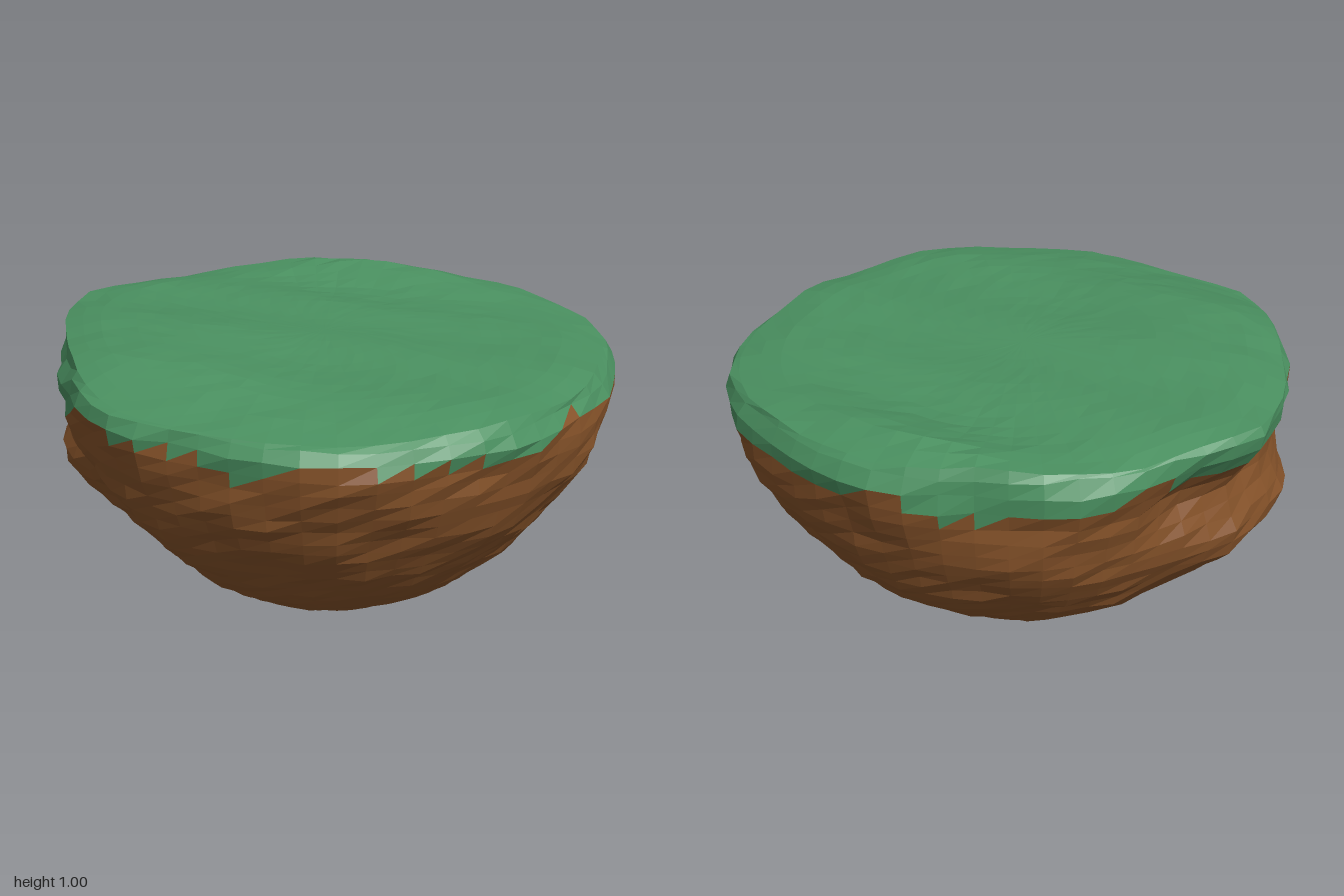
import * as THREE from 'three';

const SEG = 54;

// Rim radius every 15 degrees, from +x round towards +z
const RIM = [0.99, 0.98, 1.0, 0.985, 0.99, 0.97, 0.935, 0.96, 0.935, 0.90, 0.905, 0.96,
  1.0, 0.935, 0.94, 0.93, 0.92, 0.955, 0.95, 0.96, 0.99, 1.0, 1.0, 0.97];

// Half section from the bottom point to the rim: radius factor, height
const SECTION = [[0, 0.005], [0.15, 0.015], [0.29, 0.06], [0.42, 0.115], [0.545, 0.185], [0.66, 0.27],
  [0.765, 0.37], [0.855, 0.475], [0.93, 0.6], [0.97, 0.7], [0.99, 0.79], [1.0, 0.85], [0.99, 0.89], [0.975, 0.915]];
const TOP_ROWS = 15;

// Soft bump centred on an angle (degrees) and a height
function bump(deg, y, deg0, y0, wDeg, wY) {
  const d = ((deg - deg0 + 540) % 360) - 180;
  return Math.exp(-((d / wDeg) ** 2) - ((y - y0) / wY) ** 2);
}

// Repeatable value from -1 to 1
function hash(a, b) {
  const s = Math.sin(a * 127.1 + b * 311.7) * 43758.5453;
  return 2 * (s - Math.floor(s)) - 1;
}

function rimRadius(deg) {
  const t = deg / 15, i = Math.floor(t);
  return THREE.MathUtils.lerp(RIM[i % 24], RIM[(i + 1) % 24], t - i);
}

// Uneven grass plateau: a rise front right, a hollow and a ridge at the back, a falling front edge
function plateau(x, z) {
  return 0.96 - 0.025 * x
    + 0.03 * Math.exp(-((x + 0.35) ** 2 + (z - 0.4) ** 2) * 7)
    - 0.015 * Math.exp(-(((z + 0.5) / 0.15) ** 2))
    + 0.025 * Math.exp(-(((z + 0.75) / 0.1) ** 2) - ((x + 0.3) / 0.5) ** 2)
    - 0.035 * THREE.MathUtils.smoothstep(z, 0.55, 0.95)
    + 0.005 * Math.sin(14 * z + 3 * x) + 0.004 * Math.sin(6 * x - 9 * z + 1);
}

// Rows of points from the bottom pole up to the rim, then in to the middle of the top
function makeRows() {
  const profile = new THREE.SplineCurve(SECTION.map(([r, y]) => new THREE.Vector2(r, y))).getSpacedPoints(28);
  const rows = profile.map((p, i) => sideRow(i, p.x, p.y));
  for (let k = 1; k <= TOP_ROWS; k++) rows.push(topRow(k, 0.955 * (1 - (k - 1) / (TOP_ROWS - 1))));
  return rows;
}

function makeRow(pointAt) {
  return Array.from({ length: SEG }, (_, j) => pointAt(j, (j / SEG) * 360, (j / SEG) * 2 * Math.PI));
}

function sideRow(i, factor, height) {
  return makeRow((j, deg, a) => {
    // The outline gets rounder towards the bottom
    const round = THREE.MathUtils.smoothstep(height, 0.1, 0.8);
    let r = factor * THREE.MathUtils.lerp(0.965, rimRadius(deg), round);
    // Overhang, lump below it and the groove beside the lump
    r -= 0.13 * bump(deg, height, 182, 0.73, 30, 0.13);
    r += 0.07 * bump(deg, height, 154, 0.52, 20, 0.1);
    r -= 0.08 * bump(deg, height, 121, 0.4, 13, 0.2);
    // Broad ripples and rough facets
    const rough = Math.min(1, factor * 1.3);
    r += rough * (0.007 * Math.sin(5 * a + 11 * height) + 0.006 * Math.sin(9 * a - 17 * height) + 0.009 * hash(i, j));
    // The rim is higher on one side, and the bottom leans a little to the other
    const lift = 0.24 * Math.max(0, height - 0.75) * (-0.6 * Math.cos(a) - 0.25 * Math.sin(a));
    const lean = 0.03 * (1 - THREE.MathUtils.smoothstep(height, 0.05, 0.5));
    return new THREE.Vector3(r * Math.cos(a) + lean, height + lift + rough * 0.006 * hash(j + 5, i), r * Math.sin(a));
  });
}

function topRow(k, factor) {
  return makeRow((j, deg, a) => {
    const r = factor * THREE.MathUtils.lerp(0.965, rimRadius(deg), factor);
    const x = r * Math.cos(a), z = r * Math.sin(a);
    const edge = THREE.MathUtils.smoothstep(factor, 0.82, 0.97);
    return new THREE.Vector3(x, plateau(x, z) - 0.02 * edge + 0.004 * factor * hash(k, j), z);
  });
}

// Ragged lower edge of the grass
function grassLine(deg) {
  const a = THREE.MathUtils.degToRad(deg);
  return 0.83 + 0.024 * Math.sin(7 * a + 1) + 0.02 * Math.sin(13 * a) + 0.035 * bump(deg, 0, 165, 0, 30, 1);
}

function makePart(name, positions, color) {
  const geometry = new THREE.BufferGeometry();
  geometry.setAttribute('position', new THREE.Float32BufferAttribute(positions, 3));
  geometry.computeVertexNormals();
  const mesh = new THREE.Mesh(geometry, new THREE.MeshStandardMaterial({ color, flatShading: true }));
  mesh.name = name;
  return mesh;
}

export function createModel() {
  const rows = makeRows();

  // Sort the facets into grass and soil
  const grass = [], soil = [];
  const addFace = (a, b, c) => {
    const m = a.clone().add(b).add(c).divideScalar(3);
    const deg = (THREE.MathUtils.radToDeg(Math.atan2(m.z, m.x)) + 360) % 360;
    const target = m.y > grassLine(deg) ? grass : soil;
    for (const p of [a, b, c]) target.push(p.x, p.y, p.z);
  };
  const last = rows.length - 2;
  for (let i = 0; i <= last; i++) {
    for (let j = 0; j < SEG; j++) {
      const k = (j + 1) % SEG;
      const a = rows[i][j], b = rows[i + 1][j], c = rows[i + 1][k], d = rows[i][k];
      if (i === 0) addFace(a, b, c);
      else if (i === last) addFace(a, b, d);
      else { addFace(a, b, d); addFace(b, c, d); }
    }
  }

  const island = new THREE.Group();
  island.name = 'island';
  island.add(makePart('grassTop', grass, 0x4a9060), makePart('soilBase', soil, 0x855229));
  return island;
}
